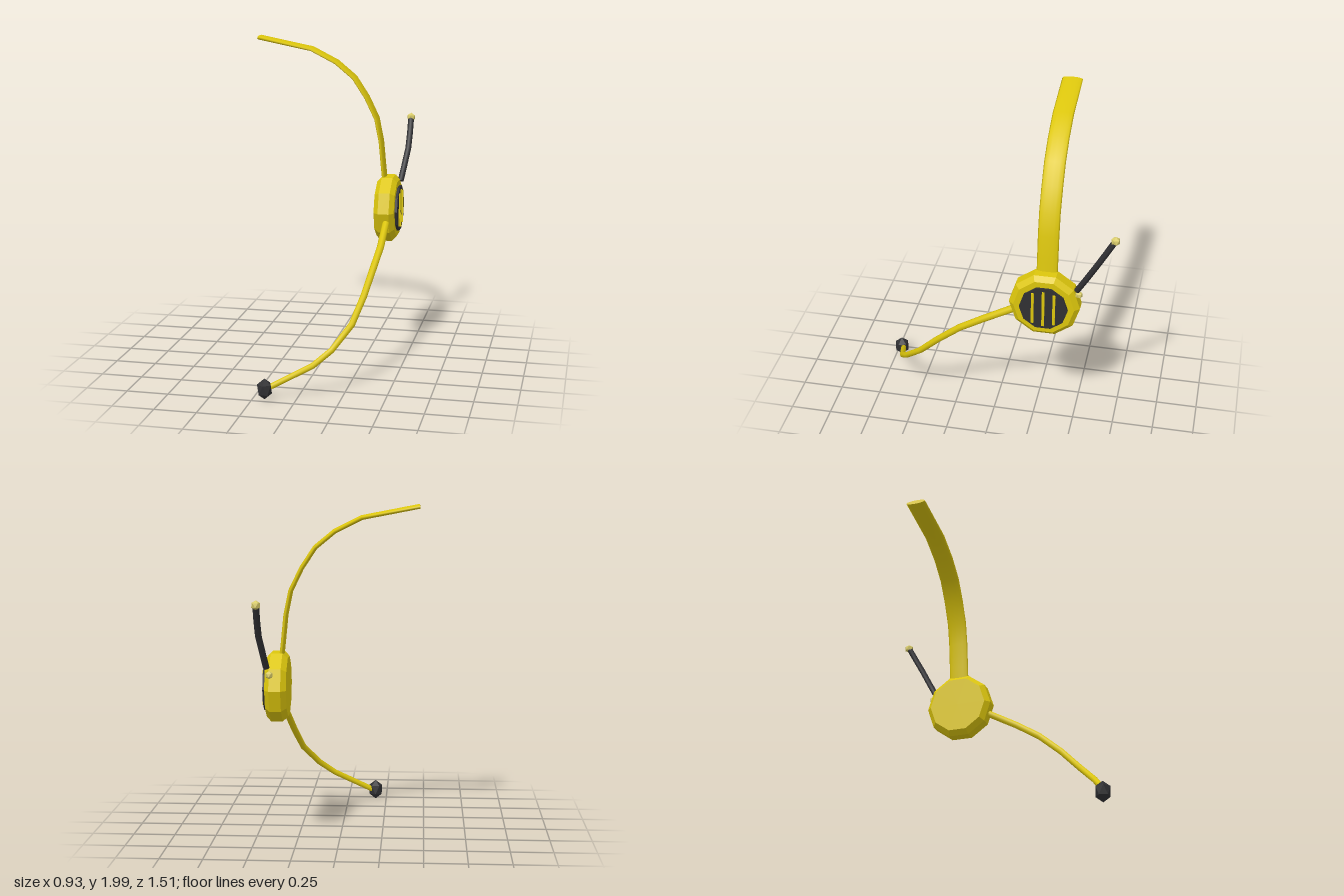
import * as THREE from 'three';

const V = (x, y, z) => new THREE.Vector3(x, y, z);

// Sweeps an elliptical ring along points; radii(t) gives [along ref, across ref]
function sweep(points, ref, sides, radii) {
  const pos = [], idx = [], n = points.length;
  points.forEach((p, i) => {
    const tan = points[Math.min(i + 1, n - 1)].clone().sub(points[Math.max(i - 1, 0)]).normalize();
    const a = ref.clone().addScaledVector(tan, -ref.dot(tan)).normalize();
    const b = tan.clone().cross(a);
    const [ra, rb] = radii(i / (n - 1));
    for (let j = 0; j < sides; j++) {
      const t = (j / sides) * Math.PI * 2;
      const v = p.clone().addScaledVector(a, Math.cos(t) * ra).addScaledVector(b, Math.sin(t) * rb);
      pos.push(v.x, v.y, v.z);
    }
  });
  for (let i = 0; i < n - 1; i++) {
    for (let j = 0; j < sides; j++) {
      const k = (j + 1) % sides, r = i * sides, s = r + sides;
      idx.push(r + j, r + k, s + k, r + j, s + k, s + j);
    }
  }
  // end caps on their own vertices keep the rims sharp
  const last = (n - 1) * sides;
  for (const [start, flip] of [[0, true], [last, false]]) {
    const base = pos.length / 3;
    for (let j = 0; j < sides * 3; j++) pos.push(pos[start * 3 + j]);
    for (let j = 1; j < sides - 1; j++) {
      idx.push(base, base + (flip ? j + 1 : j), base + (flip ? j : j + 1));
    }
  }
  const g = new THREE.BufferGeometry();
  g.setAttribute('position', new THREE.Float32BufferAttribute(pos, 3));
  g.setIndex(idx);
  g.computeVertexNormals();
  return g;
}

// Faceted bead standing on a vertex
function bead(r, ry) {
  const g = new THREE.IcosahedronGeometry(1, 0);
  g.rotateX(-Math.atan2((1 + Math.sqrt(5)) / 2, 1));
  g.scale(r, ry, r);
  g.computeVertexNormals();
  return g;
}

// Ten-sided disc turned about the x axis, profile as [x, radius]
function disc(profile) {
  const g = new THREE.LatheGeometry(profile.map(([x, r]) => new THREE.Vector2(r, x)), 10);
  g.rotateZ(-Math.PI / 2);
  const flat = g.toNonIndexed();
  flat.computeVertexNormals();
  return flat;
}

export function createModel() {
  const model = new THREE.Group();
  model.name = 'headset';
  const mat = (name, color) => {
    const m = new THREE.MeshStandardMaterial({ color });
    m.name = name;
    return m;
  };
  const yellow = mat('yellow', 0xdcc60c);
  const dark = mat('charcoal', 0x303033);
  const pale = mat('paleYellow', 0xd9cc6a);
  const add = (name, geo, material, x = 0, y = 0, z = 0) => {
    const m = new THREE.Mesh(geo, material);
    m.name = name;
    m.position.set(x, y, z);
    model.add(m);
  };
  const cy = 0.94, cz = -0.33;

  // ear cup with bevelled rims, and its grille
  add('earCup', disc([[0.295, 0], [0.295, 0.18], [0.325, 0.21], [0.393, 0.21], [0.42, 0.18], [0.42, 0]]),
    yellow, 0, cy, cz);
  add('grille', disc([[0.415, 0], [0.415, 0.143], [0.435, 0.143], [0.435, 0]]), dark, 0, cy, cz);
  for (const i of [-1, 0, 1]) {
    add('grilleBar', new THREE.BoxGeometry(0.009, i ? 0.205 : 0.235, 0.016), yellow,
      0.4375, cy, cz + i * 0.063);
  }

  // flat curved headband
  const band = [[0.338, 1.08], [0.325, 1.2], [0.309, 1.36], [0.28, 1.5], [0.217, 1.63], [0.138, 1.75],
    [0.025, 1.843], [-0.13, 1.921], [-0.464, 1.986]].map(([x, y]) => V(x, y, -0.333));
  add('headband', sweep(band, V(0, 0, 1), 12, () => [0.062, 0.014]), yellow);

  // microphone boom and tip
  const boom = [[0.37, 0.85, -0.17], [0.373, 0.87, -0.13], [0.373, 0.775, 0.04], [0.354, 0.675, 0.19],
    [0.325, 0.545, 0.335], [0.28, 0.41, 0.46], [0.185, 0.285, 0.575], [0.085, 0.203, 0.634],
    [-0.17, 0.07, 0.7]].map(p => V(...p));
  boom[0].set(0.373, 0.905, -0.19);
  add('microphoneBoom', sweep(boom, V(1, 0.2, -0.7), 8, t => [0.023 - 0.006 * t, 0.023 - 0.006 * t]), yellow);
  add('microphoneTip', bead(0.048, 0.063), dark, -0.18, 0.072, 0.713);

  // aerial with a bead at each end
  const aerial = [[0.405, 1.075, -0.52], [0.42, 1.17, -0.573], [0.435, 1.27, -0.627],
    [0.437, 1.36, -0.677], [0.436, 1.45, -0.726]].map(p => V(...p));
  add('aerial', sweep(aerial, V(1, 0, 0), 8, () => [0.019, 0.018]), dark);
  add('aerialTipBead', bead(0.028, 0.028), pale, 0.436, 1.455, -0.73);
  add('aerialBaseBead', bead(0.023, 0.023), pale, 0.388, 1.035, -0.53);

  return model;
}
